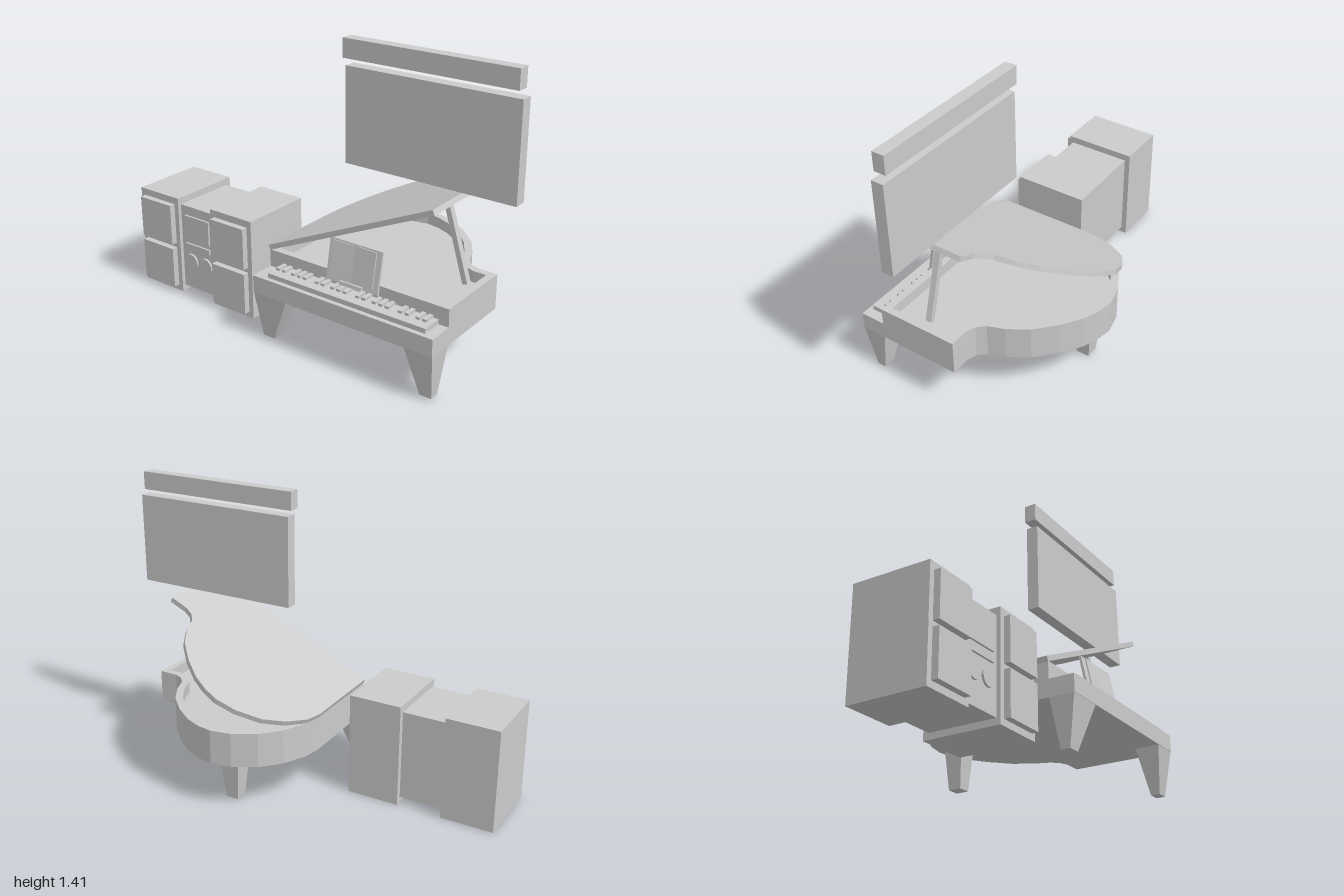
import * as THREE from 'three';

const mat = new THREE.MeshStandardMaterial({ color: 0xcccccc, flatShading: true });

export function createModel() {
  const root = new THREE.Group();
  root.name = 'musicRoom';

  function add(geo, name, parent = root) {
    const m = new THREE.Mesh(geo, mat);
    m.name = name;
    parent.add(m);
    return m;
  }
  function group(name) {
    const g = new THREE.Group();
    g.name = name;
    root.add(g);
    return g;
  }
  // Box given by its limits on each axis
  function box(name, x0, x1, y0, y1, z0, z1, parent) {
    const m = add(new THREE.BoxGeometry(x1 - x0, y1 - y0, z1 - z0), name, parent);
    m.position.set((x0 + x1) / 2, (y0 + y1) / 2, (z0 + z1) / 2);
    return m;
  }
  // Tapered leg: top and bottom rectangles as [x0, x1, z0, z1]
  function leg(name, top, bottom, y0, y1, parent) {
    const g = new THREE.BoxGeometry(1, 1, 1);
    const p = g.attributes.position;
    for (let i = 0; i < p.count; i++) {
      const up = p.getY(i) > 0, r = up ? top : bottom;
      p.setXYZ(i, r[p.getX(i) > 0 ? 1 : 0], up ? y1 : y0, r[p.getZ(i) > 0 ? 3 : 2]);
    }
    g.computeVertexNormals();
    add(g, name, parent);
  }
  // Plan outline (x, -z) extruded upwards from y = 0
  function slab(points, height, hole) {
    const s = new THREE.Shape(points);
    if (hole) s.holes.push(new THREE.Path(hole));
    const g = new THREE.ExtrudeGeometry(s, { depth: height, bevelEnabled: false });
    return g.rotateX(-Math.PI / 2);
  }
  // Inward offset of a counter-clockwise outline
  function inset(pts, d) {
    return pts.map((p, i) => {
      const a = p.clone().sub(pts[(i + pts.length - 1) % pts.length]).normalize();
      const b = pts[(i + 1) % pts.length].clone().sub(p).normalize();
      const n1 = new THREE.Vector2(-a.y, a.x), n2 = new THREE.Vector2(-b.y, b.x);
      return n1.clone().add(n2).multiplyScalar(d / (1 + n1.dot(n2))).add(p);
    });
  }

  // Piano case
  const piano = group('grandPiano');
  const outline = [
    [-0.14, -0.355], [0.83, -0.355], [0.83, 0.05], [0.735, 0.05], [0.69, 0.067], [0.655, 0.105],
    [0.625, 0.185], [0.565, 0.28], [0.47, 0.37], [0.375, 0.435], [0.295, 0.467], [0.22, 0.48],
    [0.12, 0.46], [0.01, 0.4], [-0.07, 0.31], [-0.125, 0.2], [-0.14, 0.11],
  ].map(([x, y]) => new THREE.Vector2(x, y));
  add(slab(outline, 0.115), 'caseBottom', piano).position.y = 0.235;
  add(slab(outline, 0.055, inset(outline, 0.036)), 'caseRim', piano).position.y = 0.35;

  // Raised lid, hinged on the left edge
  const lid = add(slab(outline.map(p => new THREE.Vector2(p.x + 0.14, p.y)), 0.025), 'lid', piano);
  lid.position.set(-0.14, 0.402, 0);
  lid.rotation.z = 0.425;
  const prop = box('lidProp', 0.707, 0.732, 0.405, 0.785, 0.105, 0.135, piano);
  prop.rotation.z = 0.29;
  prop.position.x = 0.718;

  // Keyboard, black keys in groups of two and three
  box('keyBed', -0.14, 0.83, 0.235, 0.32, 0.355, 0.48, piano);
  box('whiteKeys', -0.07, 0.78, 0.32, 0.343, 0.355, 0.457, piano);
  for (let octave = 0; octave < 4; octave++) {
    for (const k of [0, 1, 2.6, 3.6, 4.6]) {
      const x = -0.06 + octave * 0.224 + k * 0.034;
      if (x < 0.74) box('blackKey', x, x + 0.02, 0.34, 0.355, 0.355, 0.41, piano);
    }
  }

  // Music stand leaning back, with an open book
  const stand = new THREE.Group();
  stand.name = 'musicStand';
  stand.position.set(0.34, 0.365, 0.372);
  stand.rotation.x = -0.19;
  piano.add(stand);
  box('standBoard', -0.14, 0.14, 0, 0.195, -0.012, 0, stand);
  box('standLedge', -0.06, 0.06, -0.002, 0.014, 0, 0.014, stand);
  for (const s of [-1, 1]) {
    const page = box('bookPage', -0.058, 0.058, 0.02, 0.188, 0, 0.006, stand);
    page.position.x = s * 0.058;
    page.position.z = 0.005;
    page.rotation.y = -s * 0.06;
  }

  // Legs
  leg('frontRightLeg', [-0.14, 0.05, 0.355, 0.478], [-0.12, -0.055, 0.395, 0.44], 0, 0.236, piano);
  leg('frontLeftLeg', [0.69, 0.83, 0.355, 0.478], [0.75, 0.81, 0.395, 0.44], 0.01, 0.236, piano);
  leg('backLeg', [0.13, 0.235, -0.388, -0.288], [0.15, 0.215, -0.37, -0.305], 0.01, 0.236, piano);

  // Stereo: two speakers around a player
  const stereo = group('stereo');
  for (const x of [-1, -0.52]) {
    box('speakerCabinet', x, x + 0.26, 0, 0.51, -0.02, 0.355, stereo);
    for (const y of [0.03, 0.265]) box('speakerGrille', x + 0.026, x + 0.234, y, y + 0.21, 0.35, 0.386, stereo);
  }
  box('playerBody', -0.742, -0.518, 0.03, 0.475, 0.008, 0.336, stereo);
  box('playerScreen', -0.71, -0.55, 0.298, 0.427, 0.33, 0.346, stereo);
  box('playerSlot', -0.71, -0.55, 0.25, 0.277, 0.33, 0.346, stereo);
  for (const x of [-0.681, -0.584]) {
    const dial = add(new THREE.CylinderGeometry(0.042, 0.042, 0.016, 24), 'playerDial', stereo);
    dial.rotation.x = Math.PI / 2;
    dial.position.set(x, 0.178, 0.338);
  }

  // Hanging panels
  box('largePanel', 0.14, 1, 0.835, 1.286, 0.088, 0.148);
  box('topPanel', 0.123, 0.98, 1.317, 1.407, 0.088, 0.148);

  return root;
}
